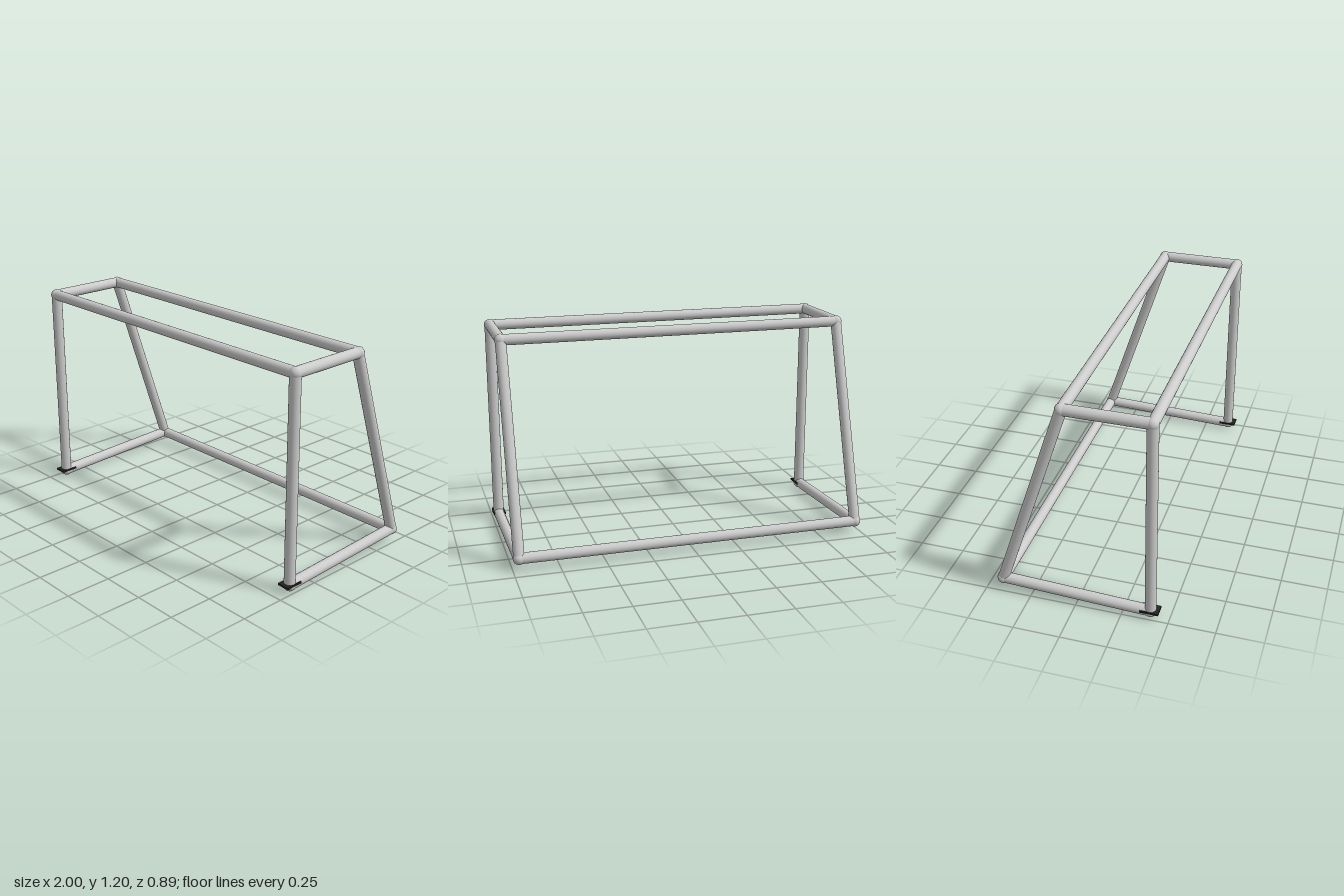
import * as THREE from 'three';

export function createModel() {
  const goal = new THREE.Group();
  goal.name = 'goalFrame';
  const metal = new THREE.MeshStandardMaterial({ color: 0xcccccc });
  metal.name = 'light grey metal';
  const dark = new THREE.MeshStandardMaterial({ color: 0x222222 });
  dark.name = 'dark base';

  const X = 0.965, TUBE = 0.03, JOINT = 0.033;
  const v = (x, y, z) => new THREE.Vector3(x, y, z);

  // Corner points of one side frame
  const corners = (x) => ({
    frontBottom: v(x, 0.035, 0.398),
    frontTop: v(x, 1.165, 0.398),
    backTop: v(x, 1.165, -0.052),
    backBottom: v(x, 0.068, -0.412),
  });

  const tube = (name, a, b) => {
    const mesh = new THREE.Mesh(new THREE.CylinderGeometry(TUBE, TUBE, a.distanceTo(b), 24), metal);
    mesh.position.copy(a).lerp(b, 0.5);
    mesh.quaternion.setFromUnitVectors(v(0, 1, 0), b.clone().sub(a).normalize());
    mesh.name = name;
    goal.add(mesh);
  };

  // Side frames with ball joints and foot plates
  for (const [side, s] of [['left', 1], ['right', -1]]) {
    const c = corners(s * X);
    tube(side + 'Post', c.frontBottom, c.frontTop);
    tube(side + 'TopRail', c.frontTop, c.backTop);
    tube(side + 'BackStay', c.backTop, c.backBottom);
    tube(side + 'GroundRail', c.backBottom, c.frontBottom);
    for (const [key, p] of Object.entries(c)) {
      const joint = new THREE.Mesh(new THREE.SphereGeometry(JOINT, 24, 16), metal);
      joint.position.copy(p);
      joint.name = side + 'Joint ' + key;
      goal.add(joint);
    }
    const plate = new THREE.Mesh(new THREE.BoxGeometry(0.07, 0.01, 0.1), dark);
    plate.position.set(s * X, 0.043, 0.397);
    plate.name = side + 'FootPlate';
    goal.add(plate);
  }

  // Long bars joining the two sides
  const l = corners(X), r = corners(-X);
  tube('crossbar', r.frontTop, l.frontTop);
  tube('backTopBar', r.backTop, l.backTop);
  tube('backGroundBar', r.backBottom, l.backBottom);

  return goal;
}
